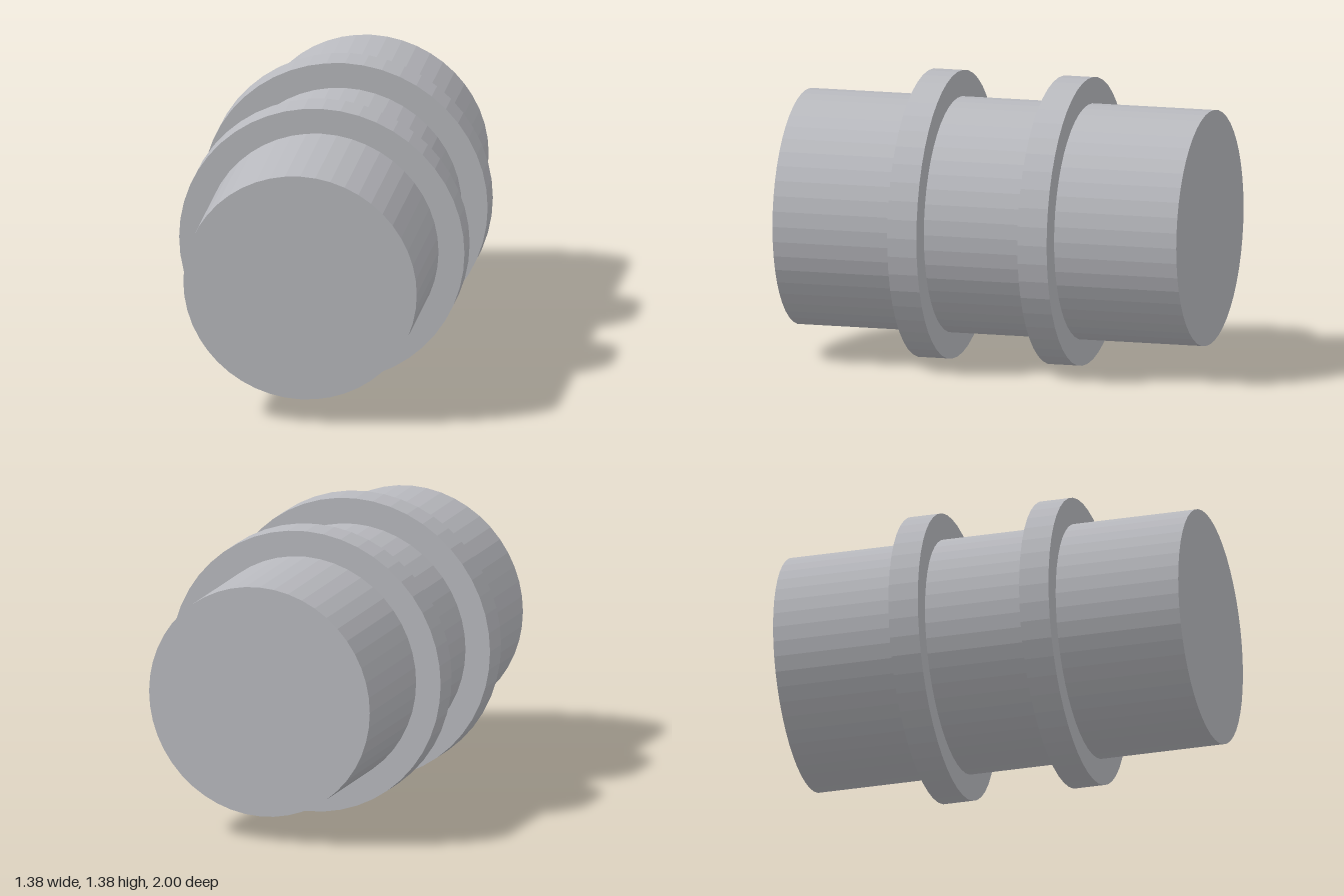
import * as THREE from 'three';

const SEGMENTS = 48;
const BODY_R = 0.5625;
const RING_R = 0.6875;

export function createModel() {
  const group = new THREE.Group();
  const metal = new THREE.MeshStandardMaterial({ name: 'light grey metal', color: 0xb8b9be, flatShading: true });

  // One solid lathe running along z, from a list of [radius, position] points
  const profile = [[0, -1], [BODY_R, -1]];
  for (const [a, b] of [[-0.395, -0.25], [0.25, 0.395]]) {
    // Raised collar with square shoulders
    profile.push([BODY_R, a], [RING_R, a], [RING_R, b], [BODY_R, b]);
  }
  profile.push([BODY_R, 1], [0, 1]);

  const geometry = new THREE.LatheGeometry(profile.map(([r, h]) => new THREE.Vector2(r, h)), SEGMENTS);
  geometry.rotateX(Math.PI / 2);

  const connector = new THREE.Mesh(geometry, metal);
  connector.name = 'collaredCylinder';
  connector.position.y = RING_R;
  group.add(connector);
  return group;
}
